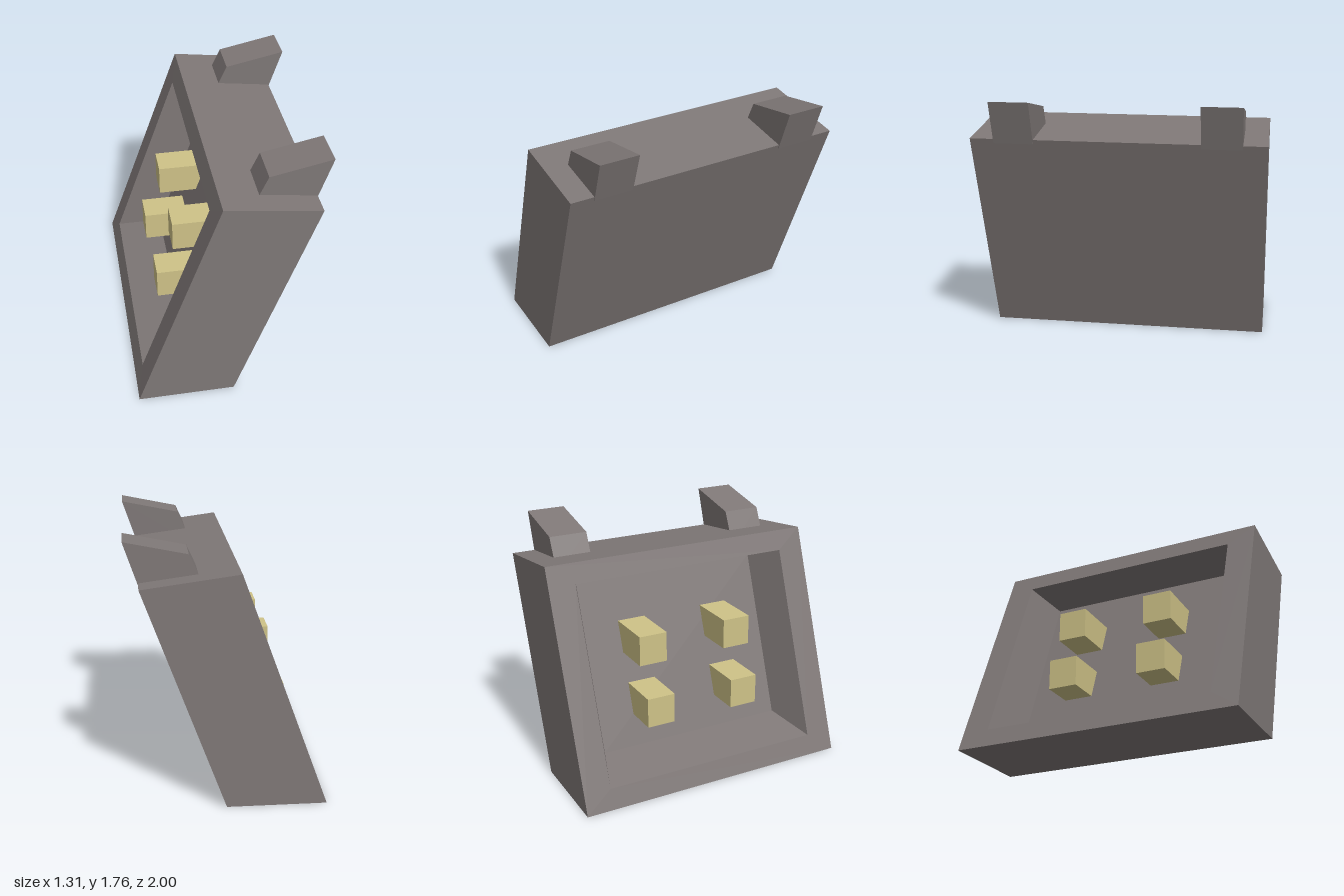
import * as THREE from 'three';

const grey = new THREE.MeshStandardMaterial({ color: 0x7f7877, flatShading: true });
const yellow = new THREE.MeshStandardMaterial({ color: 0xcfc388, flatShading: true });

// Rectangle standing across z: bottom and top edge given in x, y
const ring = ([bx, by], [tx, ty], h) => [[bx, by, h], [bx, by, -h], [tx, ty, -h], [tx, ty, h]];

// Joins successive four-cornered rings and closes both ends
function loft(rings) {
  const pos = [];
  const quad = (a, b, c, d) => pos.push(...a, ...b, ...c, ...a, ...c, ...d);
  quad(...rings[0]);
  for (let r = 0; r + 1 < rings.length; r++) {
    const a = rings[r], b = rings[r + 1];
    for (let i = 0; i < 4; i++) {
      const j = (i + 1) % 4;
      quad(a[i], b[i], b[j], a[j]);
    }
  }
  quad(...[...rings[rings.length - 1]].reverse());
  const geo = new THREE.BufferGeometry();
  geo.setAttribute('position', new THREE.Float32BufferAttribute(pos, 3));
  geo.computeVertexNormals();
  return geo;
}

export function createModel() {
  const model = new THREE.Group();
  model.name = 'leaningHousing';
  const add = (name, geo, mat, x = 0, y = 0, z = 0) => {
    const mesh = new THREE.Mesh(geo, mat);
    mesh.name = name;
    mesh.position.set(x, y, z);
    model.add(mesh);
  };

  // Leaning body: solid side, rim, opening and tapered recess
  add('body', loft([
    ring([0.012, 0], [0.56, 1.5], 1),
    ring([-0.657, 0], [-0.08, 1.585], 1),
    ring([-0.607, 0.137], [-0.13, 1.448], 0.807),
    ring([-0.28, 0.22], [0.133, 1.354], 0.7),
  ]), grey);

  // Two slanted lugs on the top
  const profile = new THREE.Shape([[0.13, 1.44], [0.555, 1.47], [0.655, 1.765], [0.24, 1.68]]
    .map(([x, y]) => new THREE.Vector2(x, y)));
  const lug = new THREE.ExtrudeGeometry(profile, { depth: 0.273, bevelEnabled: false });
  lug.translate(0, 0, -0.1365);

  // Two rows of level blocks reaching out of the recess
  const rows = [
    { name: 'lowerBlock', front: -0.44, back: -0.1, y: 0.538 },
    { name: 'upperBlock', front: -0.322, back: 0.06, y: 0.958 },
  ];
  for (const side of [-1, 1]) {
    const label = side > 0 ? 'Front' : 'Rear';
    add('topLug' + label, lug, grey, 0, 0, side * 0.7);
    for (const { name, front, back, y } of rows) {
      add(name + label, new THREE.BoxGeometry(back - front, 0.215, 0.207), yellow,
        (front + back) / 2, y, side * 0.332);
    }
  }
  return model;
}
